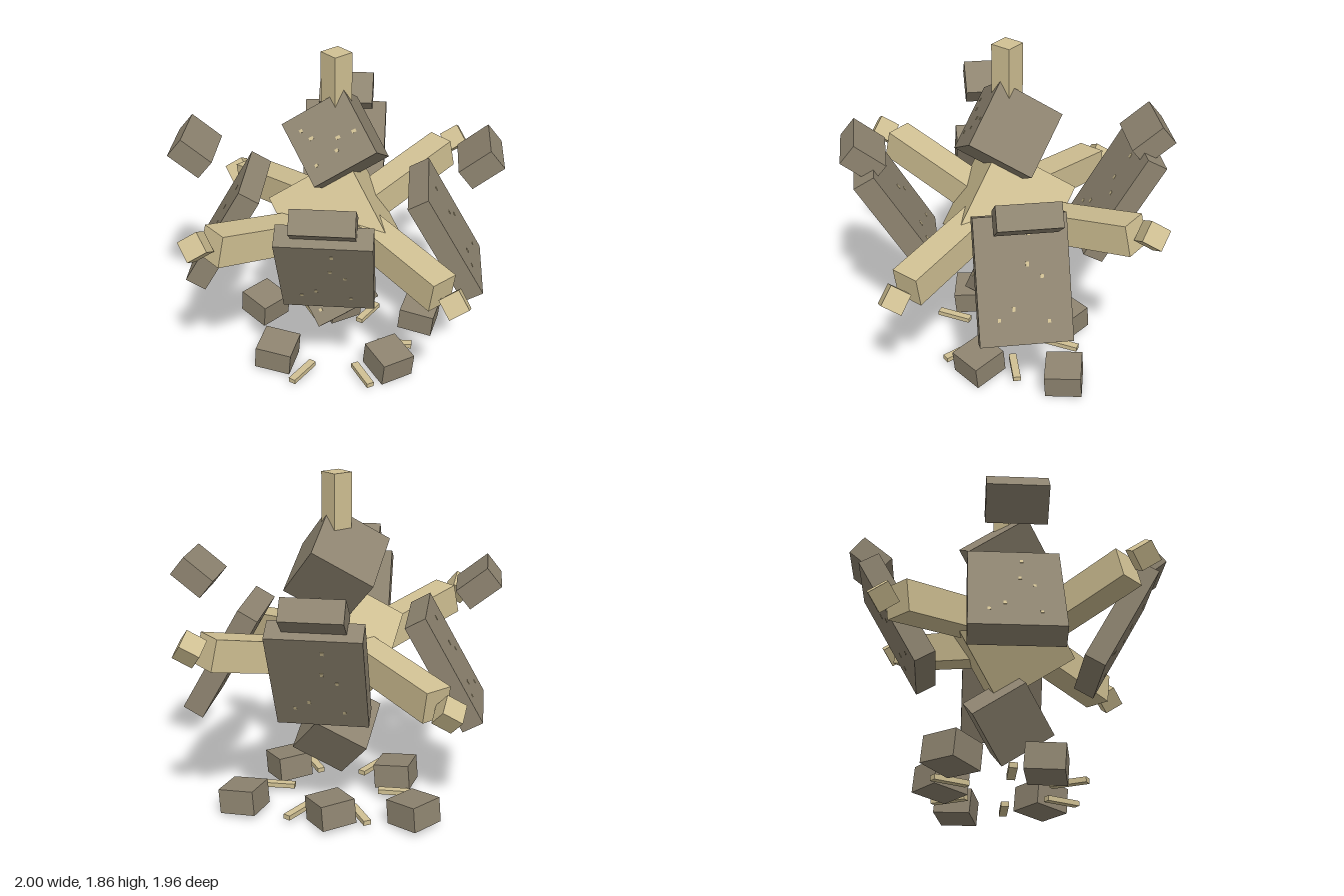
import * as THREE from 'three';

const stone = new THREE.MeshStandardMaterial({ color: 0x8e8470 });
stone.name = 'stone grey';
const sand = new THREE.MeshStandardMaterial({ color: 0xd0c093 });
sand.name = 'sand tan';

const rad = THREE.MathUtils.degToRad;

function box(parent, name, material, size, position, rotation = [0, 0, 0], order = 'XYZ') {
  const mesh = new THREE.Mesh(new THREE.BoxGeometry(...size), material);
  mesh.name = name;
  mesh.position.set(...position);
  mesh.rotation.set(...rotation.map(rad), order);
  parent.add(mesh);
  return mesh;
}

// Cube standing almost on its corner
const cornerCube = (parent, name, material, s, position) =>
  box(parent, name, material, [s, s, s], position, [45, 0, -45], 'ZYX');

// Group whose local +z points outwards at the given heading
function spoke(parent, name, heading) {
  const group = new THREE.Group();
  group.name = name;
  group.rotation.y = rad(heading);
  parent.add(group);
  return group;
}

// Small flecks spread over a face in its own plane (unit coordinates)
const spots = [[-0.28, -0.3], [-0.12, -0.22], [0.25, -0.33], [0.05, 0.12], [0.2, 0.02], [0.08, 0.36]];
function addFlecks(face, w, h, depth) {
  spots.forEach(([u, v], i) =>
    box(face, 'fleck', sand, [0.016, 0.018 + 0.006 * (i % 2), 0.004], [u * w, v * h, depth]));
}

export function createModel() {
  const model = new THREE.Group();
  model.name = 'shatteredGolem';

  // Body: core, head, lower block and top post
  cornerCube(model, 'core', sand, 0.467, [0, 0.9, 0]);
  const blocks = [
    cornerCube(model, 'head', stone, 0.365, [0, 1.36, 0]),
    cornerCube(model, 'lowerBlock', stone, 0.316, [0, 0.43, 0]),
  ];
  for (const block of blocks) {
    const s = block.geometry.parameters.width;
    const face = new THREE.Group();
    face.name = 'flecks';
    face.rotation.x = -Math.PI / 2;
    block.add(face);
    addFlecks(face, s, s, s / 2);
  }
  box(model, 'topPost', sand, [0.113, 0.4, 0.113], [0, 1.655, 0]);

  // Arms: front and back rise, the side ones droop; each has a loose tip
  for (let i = 0; i < 4; i++) {
    const side = i % 2 === 1;
    const tilt = side ? 9 : -14;
    const length = 0.66;
    const endY = side ? 0.825 : 1.043;
    const arm = spoke(model, 'arm', i * 90);
    box(arm, 'armBeam', sand, [0.155, 0.168, length],
      [0, endY + Math.sin(rad(tilt)) * length / 2, 0.812 - Math.cos(rad(tilt)) * length / 2], [tilt, 0, 0]);
    const a = rad(i * 90);
    cornerCube(model, 'armTip', sand, 0.112,
      [Math.sin(a) * 0.903, side ? 0.807 : 1.077, Math.cos(a) * 0.903]);
  }

  // Armour slabs on the diagonals, leaning alternately out and in, with caps
  for (let i = 0; i < 4; i++) {
    const out = i % 2 === 0;
    const armour = spoke(model, 'armour', 45 + i * 90);
    const slab = box(armour, 'slab', stone, [0.47, 0.645, 0.12],
      [0, out ? 0.958 : 0.845, 0.597], [out ? 29.5 : -29.5, 0, 0]);
    for (const turn of [0, Math.PI]) {
      const face = new THREE.Group();
      face.name = 'flecks';
      face.rotation.y = turn;
      slab.add(face);
      addFlecks(face, 0.47, 0.645, 0.06);
    }
    box(armour, 'cap', stone, [0.31, 0.122, 0.2], [0, 1.3, 0.753], [-39, 0, 0]);
  }

  // Rubble on the ground: x, z, heading
  const rubble = [[-0.53, 0.12, 5], [-0.11, 0.35, 35], [0.36, -0.08, -10], [0.16, -0.52, 32], [-0.25, -0.23, -10]];
  for (const [x, z, heading] of rubble) {
    box(model, 'rubble', stone, [0.205, 0.138, 0.2], [x, 0.085, z], [0, heading, -7], 'ZYX');
  }

  // Ring of splinters
  for (let i = 0; i < 6; i++) {
    const ring = spoke(model, 'splinterRing', 15 + i * 60);
    box(ring, 'splinter', sand, [0.042, 0.027, 0.2], [0, 0.04, 0.34]);
  }
  return model;
}
